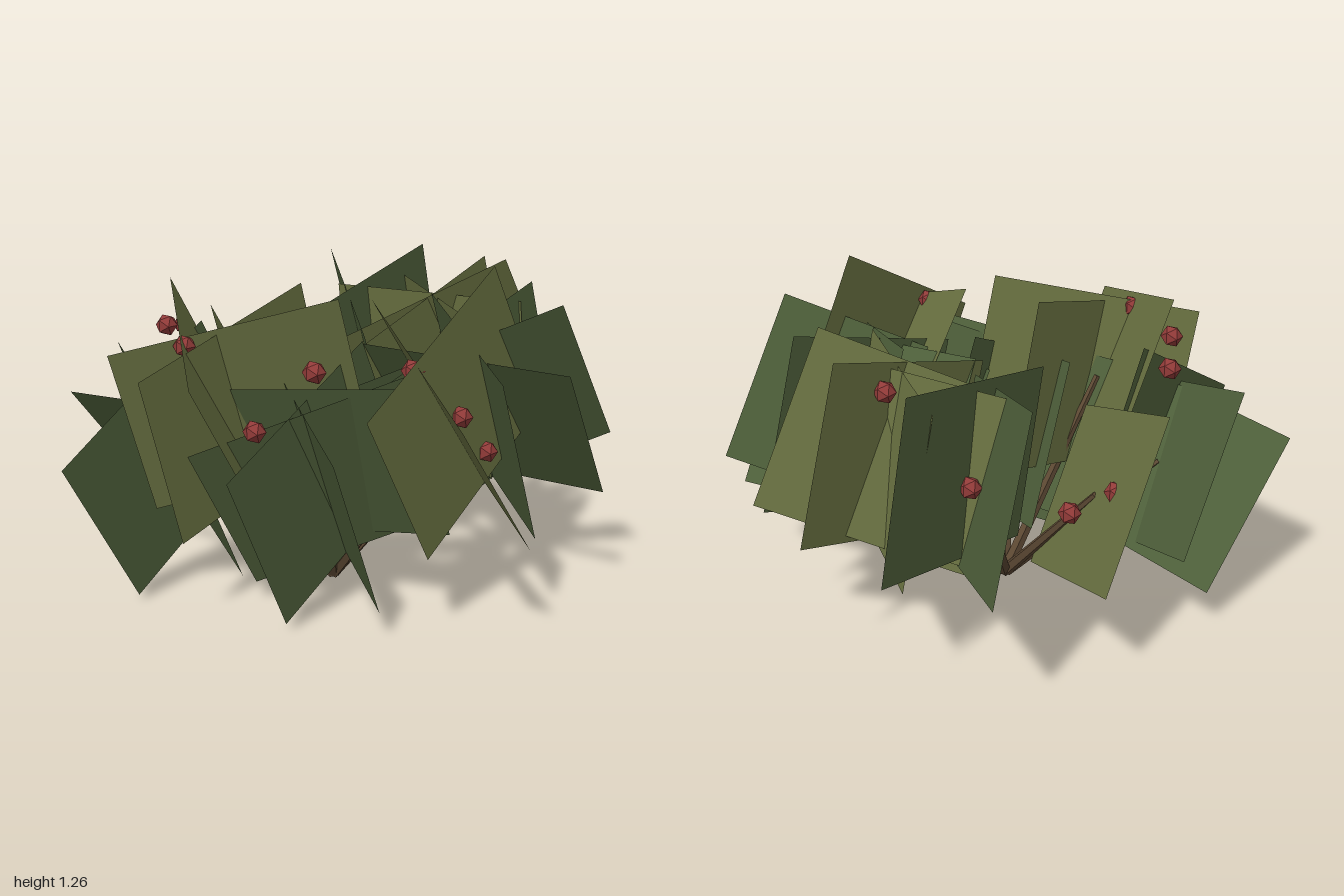
import * as THREE from 'three';

const material = (name, color, side = THREE.FrontSide) => {
  const m = new THREE.MeshStandardMaterial({ color, side });
  m.name = name;
  return m;
};

export function createModel() {
  const bush = new THREE.Group();
  bush.name = 'berryBush';

  const bark = material('bark', 0x5c4833);
  const berryRed = material('berryRed', 0x923b39);
  const green = material('leafGreen', 0x4e5f3a, THREE.DoubleSide);
  const olive = material('leafOlive', 0x6a7242, THREE.DoubleSide);
  bark.flatShading = true;
  berryRed.flatShading = true;

  const leafSheet = new THREE.PlaneGeometry(0.83, 0.645);
  const berryShape = new THREE.IcosahedronGeometry(0.042, 0);
  const up = new THREE.Vector3(0, 1, 0);
  const base = new THREE.Vector3(0, 0.01, 0.02);
  const rad = THREE.MathUtils.degToRad;

  // Each branch: tip, leaf colour, and leaf sheets as
  // [yaw, tilt, roll] in degrees, then an optional shift from the tip
  const branches = [
    { tip: [-0.46, 0.53, -0.04], leaf: olive, sheets: [[-39, 33, -1]] },
    { tip: [-0.44, 0.48, 0.41], leaf: green, sheets: [
      [0, 36, 8, -0.02, -0.02, -0.02], [-32, 33, 0], [94, 30, 0, 0.04, 0.02, 0.075]] },
    { tip: [-0.29, 0.72, -0.51], leaf: green, sheets: [
      [-40, 19, -3, -0.035, 0, 0], [95, 13, 0, 0.03, 0.03, -0.01]] },
    { tip: [0.05, 0.72, -0.55], leaf: olive, sheets: [
      [9, 8, 0, -0.04, 0, 0], [-33, 13, 6, 0.03, 0, 0],
      [52, 33, 0, -0.02, 0.015, 0], [91, 18, 0, 0.03, 0, 0.05]] },
    { tip: [0.46, 0.68, -0.29], leaf: green, sheets: [
      [8, 36, -7, -0.005, -0.03, -0.02], [-35, 20, 0], [45, 33, 0], [88, 18, 0, -0.06, 0, -0.06]] },
    { tip: [0.59, 0.75, 0.02], leaf: olive, sheets: [
      [-33, 38, -1, -0.02, -0.02, 0.02], [93, 30, 0, 0.01, 0.015, -0.01]] },
    { tip: [0.2, 0.49, 0.28], leaf: green, sheets: [
      [17, 24, 0, -0.03, 0.06, -0.02], [-32, 22, -2, -0.015, 0, 0], [46, 30, 0, 0.03, 0, 0], [95, 25, 0]] },
    { tip: [-0.12, 0.74, 0.44], leaf: olive, sheets: [
      [-40, 32, 4, -0.03, 0.02, 0.03], [48, 18, 0, 0.05, 0, -0.03], [91, 16, 0, 0.03, -0.02, -0.04]] },
  ];

  for (const { tip, leaf, sheets } of branches) {
    // Tapered stem from the root to the tip
    const end = new THREE.Vector3(...tip);
    const along = end.clone().sub(base);
    const stem = new THREE.Mesh(new THREE.CylinderGeometry(0.012, 0.025, along.length(), 5), bark);
    stem.name = 'stem';
    stem.position.copy(base).addScaledVector(along, 0.5);
    stem.quaternion.setFromUnitVectors(up, along.normalize());
    bush.add(stem);

    // Crossed leaf sheets around the tip
    const cluster = new THREE.Group();
    cluster.name = 'leafCluster';
    cluster.position.copy(end);
    for (const [yaw, tilt, roll, dx = 0, dy = 0, dz = 0] of sheets) {
      const sheet = new THREE.Mesh(leafSheet, leaf);
      sheet.name = 'leafSheet';
      sheet.rotation.set(rad(tilt), rad(yaw), rad(roll));
      sheet.position.set(dx, dy, dz);
      cluster.add(sheet);
    }
    bush.add(cluster);
  }

  // Ring of berries
  const berries = [
    [-0.52, 0.58, -0.28], [-0.58, 0.6, -0.09], [-0.56, 0.95, 0.26], [-0.45, 0.99, 0.44],
    [-0.37, 0.46, 0.51], [-0.155, 0.985, 0.615], [0.185, 0.74, 0.61], [0.37, 0.96, 0.51],
    [0.57, 0.95, 0.24], [0.615, 0.755, 0.03], [0.6, 0.59, -0.14], [0.51, 0.82, -0.3],
    [0.26, 0.98, -0.51], [0.055, 0.98, -0.575], [-0.08, 0.85, -0.575], [-0.28, 0.7, -0.525],
  ];
  for (const p of berries) {
    const berry = new THREE.Mesh(berryShape, berryRed);
    berry.name = 'berry';
    berry.position.set(...p);
    bush.add(berry);
  }
  return bush;
}
